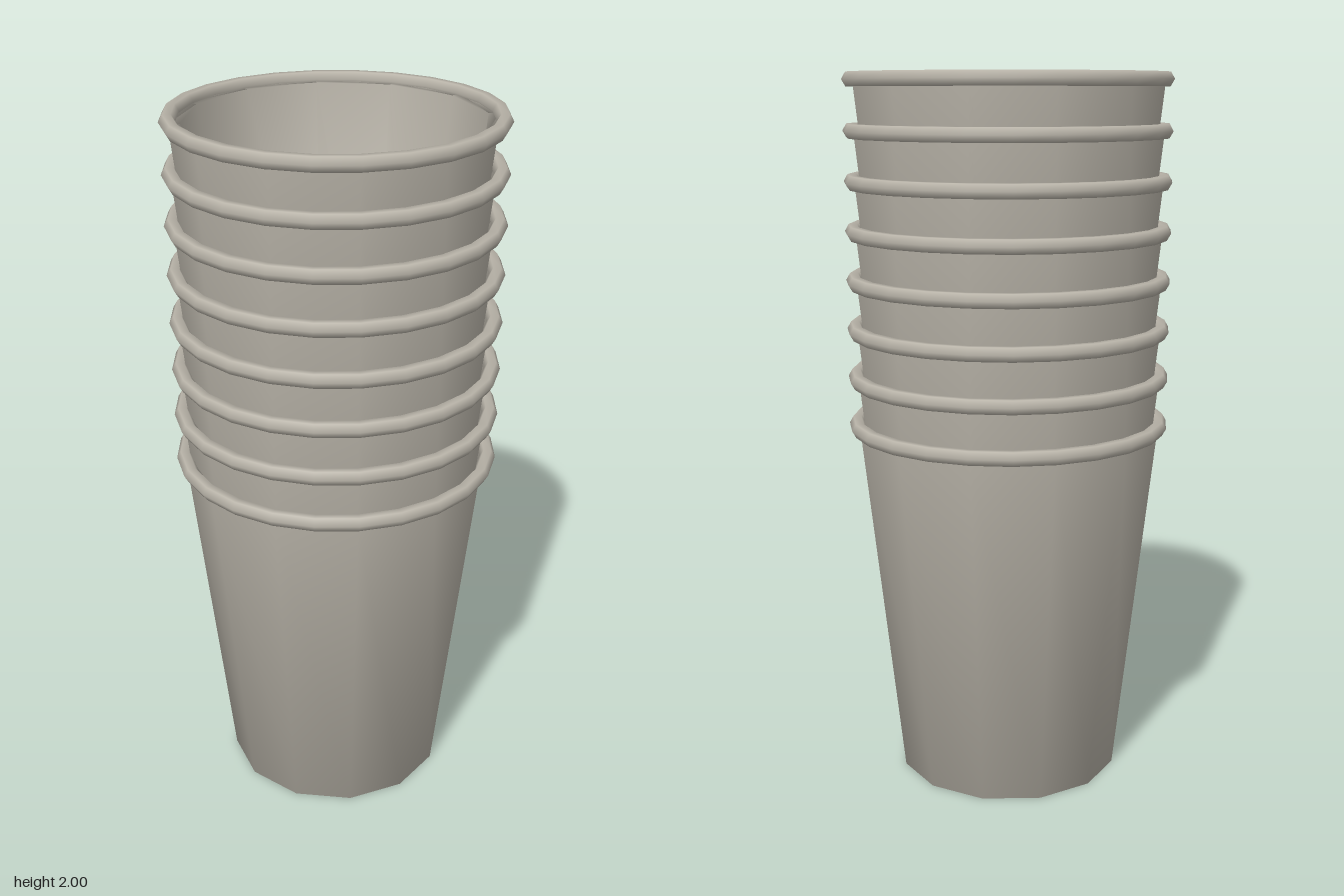
import * as THREE from 'three';

const CUPS = 8;
const SPACING = 0.1364;
const RIM_Y = 1.026;

export function createModel() {
  const model = new THREE.Group();
  model.name = 'cupStack';
  const paper = new THREE.MeshStandardMaterial({ color: 0xb8b3a8 });
  paper.name = 'warm grey paper';

  // Closed cup profile: underside, outer wall, lip, inner wall, inside floor
  const profile = [
    [0, 0], [0.317, 0], [0.43, 1.02], [0.4, 1.02], [0.292, 0.03], [0, 0.03],
  ].map(([r, y]) => new THREE.Vector2(r, y));
  const wallGeometry = new THREE.LatheGeometry(profile, 12);

  // Rolled rim
  const rimGeometry = new THREE.TorusGeometry(0.432, 0.022, 6, 24);
  rimGeometry.rotateX(Math.PI / 2);

  // Nested cups, each raised by the same step
  for (let i = 0; i < CUPS; i++) {
    const cup = new THREE.Group();
    cup.name = `cup${i + 1}`;
    const wall = new THREE.Mesh(wallGeometry, paper);
    wall.name = 'cupWall';
    const rim = new THREE.Mesh(rimGeometry, paper);
    rim.name = 'rolledRim';
    rim.position.y = RIM_Y;
    cup.add(wall, rim);
    cup.position.y = i * SPACING;
    model.add(cup);
  }
  return model;
}
